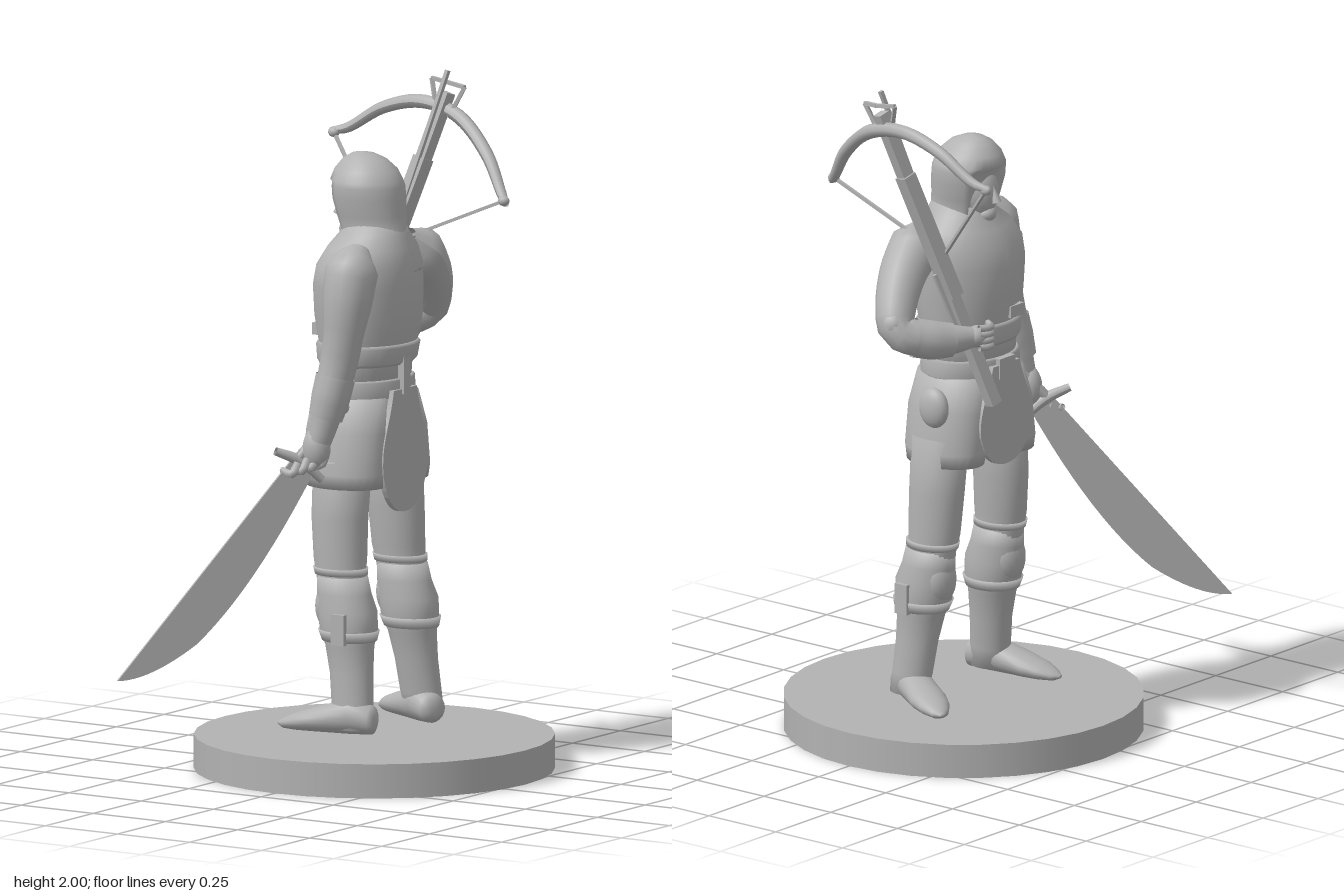
import * as THREE from 'three';

const grey = new THREE.MeshStandardMaterial({ color: 0xb2b2b2 });
grey.name = 'stone grey';
grey.side = THREE.DoubleSide;
const V = (p) => new THREE.Vector3(...p);

// Stacked elliptical rings, listed bottom to top: [y, centreX, centreZ, radiusX, radiusZ]
function loft(rings, n = 28, shape = null) {
  const pos = [], idx = [];
  rings.forEach(([y, cx, cz, rx, rz]) => {
    for (let i = 0; i < n; i++) {
      const a = (i / n) * Math.PI * 2, k = shape ? shape(a, y) : 1;
      pos.push(cx + rx * k * Math.cos(a), y, cz + rz * Math.sin(a));
    }
  });
  for (let r = 0; r < rings.length - 1; r++) {
    for (let i = 0; i < n; i++) {
      const a = r * n + i, b = r * n + (i + 1) % n;
      idx.push(a, a + n, b, b, a + n, b + n);
    }
  }
  const ends = [rings[0], rings[rings.length - 1]];
  ends.forEach(([y, cx, cz], e) => {
    const c = pos.length / 3, s = e ? (rings.length - 1) * n : 0;
    pos.push(cx, y, cz);
    for (let i = 0; i < n; i++) {
      const a = s + i, b = s + (i + 1) % n;
      idx.push(c, ...(e ? [b, a] : [a, b]));
    }
  });
  const g = new THREE.BufferGeometry();
  g.setAttribute('position', new THREE.Float32BufferAttribute(pos, 3));
  g.setIndex(idx);
  g.computeVertexNormals();
  return g;
}

// Tube whose radius changes along its path: [x, y, z, radius]
function limb(pts, segs = 24, sides = 14) {
  const curve = new THREE.CatmullRomCurve3(pts.map((p) => V(p.slice(0, 3))));
  const g = new THREE.TubeGeometry(curve, segs, 1, sides);
  const p = g.attributes.position, v = new THREE.Vector3();
  for (let s = 0; s <= segs; s++) {
    const f = curve.getUtoTmapping(s / segs) * (pts.length - 1);
    const i = Math.min(Math.floor(f), pts.length - 2);
    const r = THREE.MathUtils.lerp(pts[i][3], pts[i + 1][3], f - i);
    const c = curve.getPointAt(s / segs);
    for (let j = 0; j <= sides; j++) {
      const k = s * (sides + 1) + j;
      v.fromBufferAttribute(p, k).sub(c).multiplyScalar(r).add(c);
      p.setXYZ(k, v.x, v.y, v.z);
    }
  }
  g.computeVertexNormals();
  return g;
}

export function createModel() {
  const model = new THREE.Group();
  const add = (name, geo, at = [0, 0, 0]) => {
    const m = new THREE.Mesh(geo, grey);
    m.name = name;
    m.position.set(...at);
    model.add(m);
    return m;
  };
  const ball = (name, at, sx, sy, sz) => {
    const m = add(name, new THREE.SphereGeometry(1, 20, 14), at);
    m.scale.set(sx, sy, sz);
    return m;
  };
  // Box stretched between two points, its width lying across `up`
  const bar = (name, a, b, w, h, up = [0, 1, 0]) => {
    const A = V(a), B = V(b);
    const m = add(name, new THREE.BoxGeometry(w, h, A.distanceTo(B)), A.clone().lerp(B, 0.5).toArray());
    m.up.set(...up);
    m.lookAt(B);
    return m;
  };

  add('base', new THREE.CylinderGeometry(0.522, 0.522, 0.1, 32), [0, 0.05, -0.092]);

  // Body
  add('torso', loft([
    [1.1, -0.035, -0.105, 0.115, 0.148], [1.19, -0.035, -0.105, 0.122, 0.152], [1.25, -0.03, -0.105, 0.135, 0.16],
    [1.33, -0.027, -0.103, 0.15, 0.172], [1.42, -0.027, -0.1, 0.15, 0.18], [1.48, -0.022, -0.1, 0.142, 0.178],
    [1.53, -0.015, -0.105, 0.122, 0.15], [1.57, -0.01, -0.11, 0.1, 0.1], [1.62, -0.01, -0.11, 0.08, 0.075]]));
  add('breastplateRim', loft([
    [1.19, -0.035, -0.105, 0.128, 0.158], [1.2, -0.033, -0.105, 0.136, 0.164],
    [1.245, -0.03, -0.105, 0.143, 0.167], [1.255, -0.03, -0.105, 0.135, 0.16]]));
  add('belt', loft([
    [1.095, -0.035, -0.105, 0.123, 0.158], [1.1, -0.035, -0.105, 0.13, 0.164],
    [1.145, -0.035, -0.105, 0.128, 0.162], [1.15, -0.035, -0.105, 0.12, 0.154]]));
  add('hips', loft([
    [0.86, -0.035, -0.105, 0.1, 0.16], [0.95, -0.035, -0.105, 0.125, 0.17], [1.1, -0.035, -0.105, 0.12, 0.155]]));

  // Tunic skirts, one over each thigh
  for (const s of [1, -1]) {
    add('tunicSkirt', loft([
      [0.84, -0.035, -0.105 + s * 0.112, 0.125, 0.092], [0.88, -0.035, -0.105 + s * 0.112, 0.132, 0.092],
      [1.0, -0.035, -0.105 + s * 0.1, 0.13, 0.09], [1.1, -0.035, -0.105 + s * 0.08, 0.115, 0.078]]));
  }

  // Hanging flaps at back and front
  const flap = new THREE.Shape();
  flap.moveTo(-0.06, 1.12);
  flap.bezierCurveTo(-0.08, 1.02, -0.125, 0.98, -0.115, 0.88);
  flap.bezierCurveTo(-0.09, 0.78, -0.04, 0.76, 0, 0.76);
  flap.bezierCurveTo(0.04, 0.76, 0.09, 0.78, 0.115, 0.88);
  flap.bezierCurveTo(0.125, 0.98, 0.08, 1.02, 0.06, 1.12);
  const flapGeo = new THREE.ExtrudeGeometry(flap, { depth: 0.016, bevelEnabled: false, curveSegments: 10 });
  const back = add('backFlap', flapGeo, [0.083, 0, -0.105]);
  back.rotation.y = Math.PI / 2;
  const front = add('frontFlap', flapGeo, [-0.155, 0.19, -0.105]);
  front.scale.y = 0.84;
  front.rotation.y = -Math.PI / 2;
  add('beltLoop', new THREE.BoxGeometry(0.02, 0.11, 0.035), [0.095, 1.16, -0.105]);
  add('buckle', new THREE.BoxGeometry(0.02, 0.06, 0.07), [-0.165, 1.12, -0.105]);
  add('chestStrap', new THREE.BoxGeometry(0.02, 0.035, 0.06), [-0.165, 1.28, -0.06]);
  ball('pouch', [-0.06, 1.02, -0.3], 0.05, 0.06, 0.03);

  // Hooded head: the hood is drawn in around the face
  const brow = (a, y) => (Math.cos(a) < -0.65 && y > 1.53 && y < 1.71 ? 0.72 : 1);
  add('hood', loft([
    [1.46, 0.035, -0.11, 0.085, 0.13], [1.52, 0.01, -0.11, 0.1, 0.1], [1.57, -0.015, -0.11, 0.103, 0.082],
    [1.62, -0.025, -0.11, 0.108, 0.092], [1.67, -0.033, -0.11, 0.113, 0.102], [1.705, -0.036, -0.11, 0.112, 0.103],
    [1.72, -0.038, -0.11, 0.108, 0.1], [1.75, -0.04, -0.11, 0.095, 0.086],
    [1.78, -0.045, -0.11, 0.066, 0.057], [1.795, -0.05, -0.11, 0.035, 0.03], [1.8, -0.05, -0.11, 0.006, 0.006]], 36, brow));
  ball('face', [-0.065, 1.635, -0.11], 0.065, 0.085, 0.06);
  const nose = add('nose', new THREE.ConeGeometry(0.014, 0.05, 8), [-0.133, 1.635, -0.11]);
  nose.rotation.z = -0.25;
  ball('chin', [-0.1, 1.57, -0.11], 0.028, 0.025, 0.03);

  // Legs and boots; the second leg mirrors the first and turns its foot outward
  for (const s of [1, -1]) {
    const Z = (z) => -0.11 + s * (z + 0.11);
    const rings = (list) => loft(list.map(([y, x, z, a, b]) => [y, x, Z(z), a, b]));
    const dx = s > 0 ? 0 : 0.012;
    add('leg', rings([
      [0.5, -0.02 + dx, 0.035, 0.075, 0.062], [0.57, -0.03 + dx, 0.037, 0.074, 0.06], [0.63, -0.035 + dx, 0.033, 0.082, 0.066],
      [0.75, -0.04 + dx, 0.028, 0.087, 0.07], [0.92, -0.035, 0.02, 0.09, 0.075]]));
    add('boot', rings([
      [0.14, 0.035 + dx, 0.065, 0.06, 0.045], [0.2, 0.025 + dx, 0.06, 0.064, 0.05], [0.3, 0.015 + dx, 0.05, 0.066, 0.055],
      [0.38, 0.005 + dx, 0.044, 0.074, 0.064], [0.42, dx, 0.041, 0.087, 0.075], [0.48, -0.006 + dx, 0.04, 0.093, 0.074],
      [0.53, -0.018 + dx, 0.038, 0.084, 0.067], [0.58, -0.025 + dx, 0.037, 0.078, 0.064]]));
    ball('kneePad', [-0.06 + dx, 0.49, Z(0.04)], 0.045, 0.075, 0.055);
    add('bootBuckle', new THREE.BoxGeometry(0.045, 0.09, 0.016), [0.015 + dx, 0.435, Z(0.118)]);
    add('bootStrap', loft([[0.395, 0.003 + dx, Z(0.043), 0.083, 0.073], [0.425, dx, Z(0.041), 0.093, 0.081]]));
    add('thighStrap', loft([[0.585, -0.03 + dx, Z(0.036), 0.081, 0.067], [0.605, -0.032 + dx, Z(0.036), 0.084, 0.07]]));
    // Foot lofted from heel to toe, then laid flat
    const foot = loft([
      [-0.07, 0.04, 0, 0.02, 0.02], [-0.06, 0.045, 0, 0.042, 0.042], [0, 0.055, 0, 0.055, 0.05], [0.06, 0.045, 0, 0.045, 0.052],
      [0.13, 0.034, 0, 0.034, 0.056], [0.18, 0.026, 0, 0.026, 0.047], [0.22, 0.018, 0, 0.016, 0.028], [0.24, 0.016, 0, 0.005, 0.008]], 20);
    foot.rotateZ(Math.PI / 2).rotateY(s > 0 ? 0.13 : -0.5);
    add('foot', foot, s > 0 ? [0.035, 0.125, 0.07] : [0.045, 0.115, -0.275]);
  }

  // Sword arm
  add('swordArm', limb([[0.03, 1.54, 0.03, 0.03], [0.035, 1.49, 0.075, 0.078], [0.035, 1.4, 0.1, 0.073], [0.03, 1.3, 0.115, 0.058],
    [0.02, 1.23, 0.12, 0.056], [0.005, 1.13, 0.14, 0.05], [-0.01, 1.04, 0.155, 0.04], [-0.02, 0.99, 0.165, 0.034]]));
  add('swordBracer', limb([[0.013, 1.18, 0.13, 0.058], [0.004, 1.12, 0.142, 0.057], [-0.007, 1.06, 0.153, 0.05]], 8));
  ball('swordHand', [-0.03, 0.97, 0.165], 0.042, 0.062, 0.038);
  for (let i = 0; i < 4; i++) {
    const t = i * 0.02;
    add('finger', limb([[-0.005 - t, 0.965 - t * 0.6, 0.15 + t, 0.012], [-0.01 - t, 0.925 - t * 0.4, 0.17 + t, 0.013],
      [-0.05 - t, 0.92 - t * 0.2, 0.165 + t, 0.01]], 8, 8));
  }

  // Crossbow arm
  add('crossbowArm', limb([[0.02, 1.54, -0.23, 0.03], [0.02, 1.49, -0.285, 0.078], [0.005, 1.43, -0.36, 0.07], [-0.025, 1.35, -0.43, 0.06],
    [-0.055, 1.29, -0.46, 0.052], [-0.11, 1.26, -0.4, 0.053], [-0.155, 1.25, -0.32, 0.042], [-0.18, 1.25, -0.27, 0.03]]));
  add('crossbowBracer', limb([[-0.09, 1.268, -0.428, 0.058], [-0.12, 1.257, -0.385, 0.058], [-0.15, 1.25, -0.33, 0.05]], 8));
  ball('elbowPoint', [-0.05, 1.31, -0.475], 0.04, 0.042, 0.035);
  ball('crossbowHand', [-0.185, 1.25, -0.255], 0.034, 0.032, 0.045);
  for (let i = 0; i < 4; i++) {
    const y = 1.222 + i * 0.019;
    add('finger', limb([[-0.205, y, -0.27, 0.011], [-0.218, y, -0.235, 0.011], [-0.185, y, -0.205, 0.01]], 8, 8));
  }

  // Sword, drawn flat (h along the ground, y up) and swung about the grip
  const sword = new THREE.Group();
  sword.name = 'sword';
  const blade = new THREE.Shape();
  blade.moveTo(-0.015, 0.97);
  blade.lineTo(0.536, 0.315);
  blade.quadraticCurveTo(0.44, 0.312, 0.3, 0.41);
  blade.quadraticCurveTo(0.13, 0.56, -0.055, 0.9);
  const part = (name, geo) => {
    const m = new THREE.Mesh(geo, grey);
    m.name = name;
    sword.add(m);
    return m;
  };
  part('blade', new THREE.ExtrudeGeometry(blade, { depth: 0.01, bevelEnabled: false })).position.z = -0.005;
  part('grip', limb([[0, 0.93, 0, 0.014], [-0.07, 1.01, 0, 0.016], [-0.14, 1.085, 0, 0.015]], 8));
  part('guard', limb([[0.06, 0.965, 0, 0.012], [-0.01, 0.935, 0, 0.017], [-0.08, 0.875, 0, 0.012]], 8));
  const pommel = part('pommel', new THREE.SphereGeometry(0.022, 12, 8));
  pommel.position.set(-0.14, 1.085, 0);
  sword.position.set(-0.08, 0, 0.2);
  sword.rotation.y = Math.atan2(-0.765, -0.644);
  model.add(sword);

  // Crossbow
  const up = [-0.09, 0.2, 0.66];
  bar('stock', [-0.21, 1.04, -0.21], [0.015, 1.93, -0.45], 0.034, 0.036, up);
  bar('stockCheeks', [-0.13, 1.37, -0.295], [-0.035, 1.74, -0.4], 0.044, 0.044, up);
  bar('bolt', [-0.09, 1.5, -0.31], [0.02, 1.995, -0.445], 0.012, 0.012, up);
  bar('trigger', [-0.16, 1.22, -0.285], [-0.1, 1.44, -0.345], 0.01, 0.012, up);
  add('bowLimbs', limb([[-0.392, 1.778, -0.455, 0.01], [-0.34, 1.79, -0.463, 0.015], [-0.22, 1.86, -0.468, 0.018], [-0.08, 1.893, -0.46, 0.021],
    [0.06, 1.865, -0.44, 0.021], [0.19, 1.77, -0.395, 0.019], [0.27, 1.67, -0.35, 0.015], [0.3, 1.645, -0.328, 0.01]], 40, 8));
  for (const end of [[-0.38, 1.775, -0.453], [0.29, 1.655, -0.33]]) {
    bar('bowString', end, [-0.105, 1.49, -0.31], 0.009, 0.009);
    ball('bowTip', end, 0.018, 0.015, 0.015);
  }
  const stirrup = [[-0.015, 1.87, -0.44], [-0.045, 1.965, -0.46], [0.02, 1.955, -0.462], [0.075, 1.95, -0.45], [0.03, 1.86, -0.435]];
  for (let i = 0; i < 4; i++) bar('stirrup', stirrup[i], stirrup[i + 1], 0.011, 0.011);
  return model;
}
